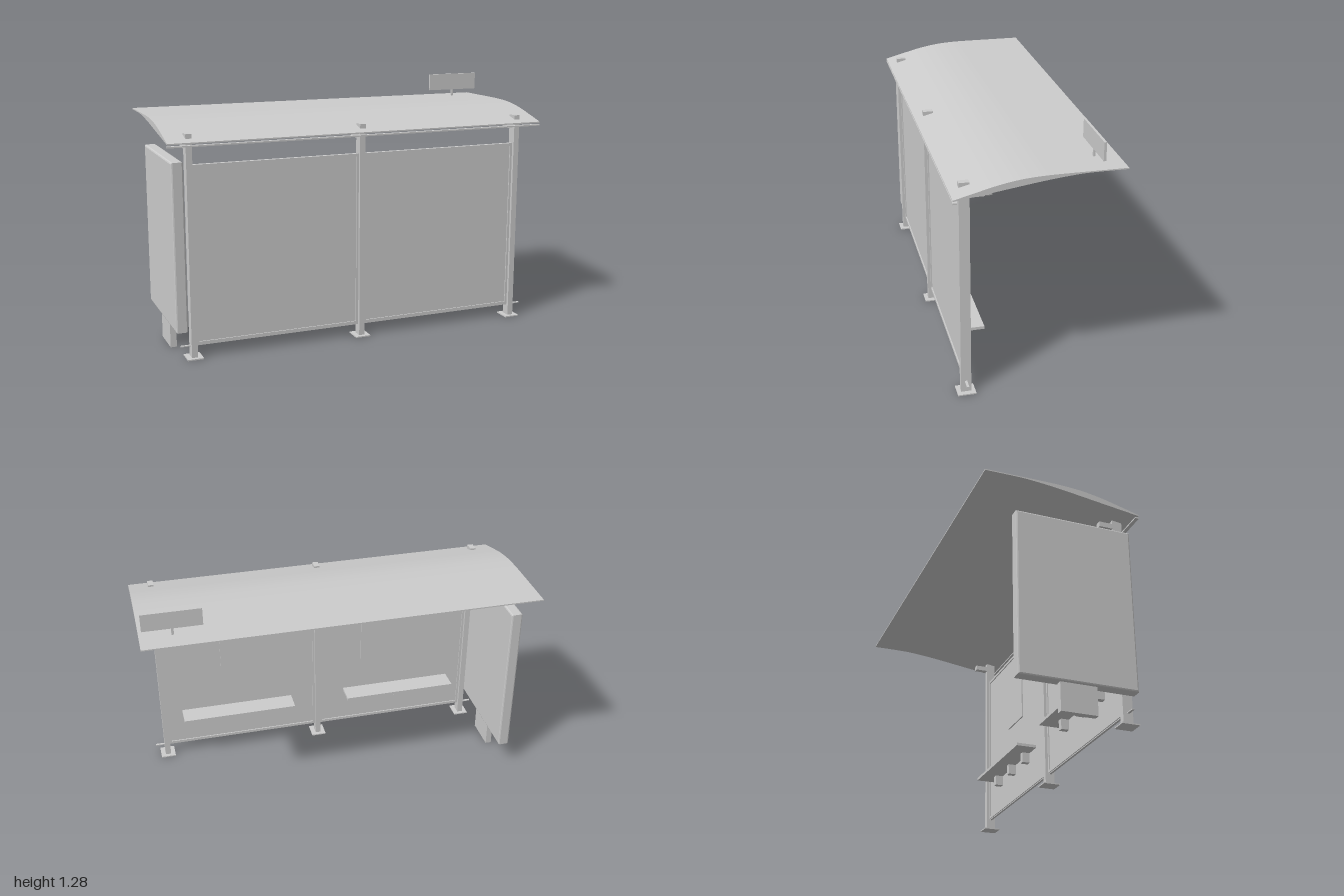
import * as THREE from 'three';

const grey = new THREE.MeshStandardMaterial({ color: 0xcccccc });
grey.name = 'light grey';

// Box given by its min and max corners
function box(parent, name, [x0, x1], [y0, y1], [z0, z1]) {
  const mesh = new THREE.Mesh(new THREE.BoxGeometry(x1 - x0, y1 - y0, z1 - z0), grey);
  mesh.position.set((x0 + x1) / 2, (y0 + y1) / 2, (z0 + z1) / 2);
  mesh.name = name;
  parent.add(mesh);
  return mesh;
}

function group(parent, name) {
  const g = new THREE.Group();
  g.name = name;
  parent.add(g);
  return g;
}

// Side profile drawn as (-z, y) and extruded along x, centred on the given x
function sideExtrude(parent, name, shape, length, x, options = {}) {
  const geo = new THREE.ExtrudeGeometry(shape, { depth: length, bevelEnabled: false, ...options });
  geo.translate(0, 0, -length / 2);
  geo.rotateY(Math.PI / 2);
  geo.translate(x, 0, 0);
  const mesh = new THREE.Mesh(geo, grey);
  mesh.name = name;
  parent.add(mesh);
}

export function createModel() {
  const model = new THREE.Group();
  model.name = 'busShelter';

  // Posts with foot plates and roof arms
  for (const x of [-0.888, 0, 0.888]) {
    const post = group(model, 'post');
    box(post, 'upright', [x - 0.015, x + 0.015], [0, 1.11], [0.305, 0.355]);
    box(post, 'footPlate', [x - 0.04, x + 0.04], [0, 0.006], [0.285, 0.375]);
    box(post, 'roofArm', [x - 0.015, x + 0.015], [1.035, 1.062], [0.235, 0.305]);
  }

  // Arched roof: curved top, flatter underside, closed ends
  const v = (z, y) => new THREE.Vector2(-z, y);
  const top = new THREE.SplineCurve([v(0.4, 1.076), v(0.3, 1.102), v(0.2, 1.127), v(0.1, 1.144),
    v(0, 1.151), v(-0.1, 1.152), v(-0.25, 1.151), v(-0.395, 1.15)]).getPoints(28);
  const under = new THREE.SplineCurve([v(-0.395, 1.144), v(-0.22, 1.145), v(-0.12, 1.139),
    v(0, 1.126), v(0.2, 1.098), v(0.4, 1.07)]).getPoints(20);
  sideExtrude(model, 'roof', new THREE.Shape([...under, ...top]), 2, 0);
  box(model, 'gutter', [-1, 1], [1.055, 1.062], [0.381, 0.4]);

  // Back wall bays: glass, frame, bench and notice board
  const bays = [
    { side: 1, board: [0.335, 0.55], boardY: [0.52, 0.83] },
    { side: -1, board: [-0.643, -0.258], boardY: [0.47, 0.865] },
  ];
  for (const { side, board, boardY } of bays) {
    const bay = group(model, side > 0 ? 'leftBay' : 'rightBay');
    const cx = side * 0.444, h = 0.429;
    const X = [cx - h, cx + h], Z = [0.32, 0.34];
    box(bay, 'glass', X, [0.066, 0.958], [0.326, 0.334]);
    box(bay, 'frameTop', X, [0.946, 0.96], Z);
    box(bay, 'frameBottom', X, [0.066, 0.08], Z);
    for (const s of [-1, 1]) {
      const e = cx + s * (h - 0.006);
      box(bay, 'frameSide', [e - 0.006, e + 0.006], [0.08, 0.946], Z);
    }
    box(bay, 'noticeBoard', board, boardY, [0.319, 0.326]);

    const bx = side * 0.47;
    box(bay, 'seat', [bx - 0.315, bx + 0.315], [0.268, 0.283], [0.213, 0.326]);
    for (const i of [-1, 0, 1]) {
      const x = bx + i * 0.207;
      box(bay, 'seatBracket', [x - 0.015, x + 0.015], [0.212, 0.268], [0.283, 0.326]);
    }
  }
  box(model, 'bottomRail', [-0.953, 0.953], [0.061, 0.066], [0.325, 0.337]);

  // Display case on the right end with softened edges
  const b = 0.008;
  const [z0, z1, y0, y1] = [-0.232 + b, 0.355 - b, 0.14 + b, 0.978 - b];
  const caseShape = new THREE.Shape([v(z1, y0), v(z0, y0), v(z0, y1), v(z1, y1)]);
  const display = group(model, 'displayCase');
  sideExtrude(display, 'case', caseShape, 0.06 - 2 * b, -0.946,
    { bevelEnabled: true, bevelSize: b, bevelThickness: b, bevelSegments: 2 });
  box(display, 'caseFoot', [-0.962, -0.93], [0, 0.145], [-0.028, 0.152]);

  // Stop sign plate standing on the roof
  const sign = group(model, 'roofSign');
  box(sign, 'signPlate', [0.692, 0.985], [1.186, 1.276], [-0.291, -0.279]);
  box(sign, 'signStem', [0.833, 0.845], [1.148, 1.186], [-0.29, -0.28]);

  return model;
}
